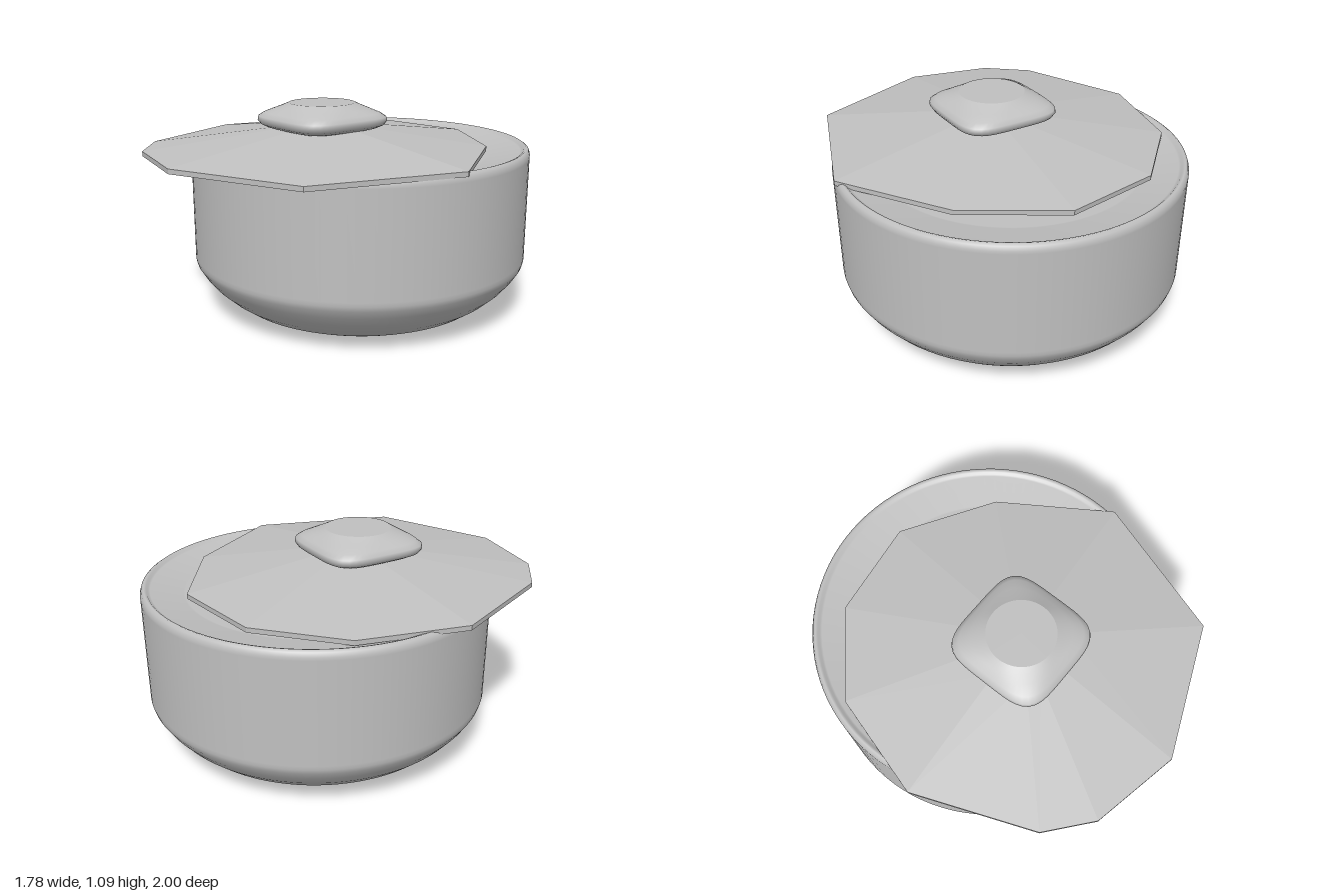
import * as THREE from 'three';

// Joins closed rings of [x, y, z] points (counterclockwise from above, listed bottom to top)
function loft(rings) {
  const n = rings[0].length;
  const index = [];
  for (let r = 0; r < rings.length - 1; r++) {
    for (let i = 0; i < n; i++) {
      const a = r * n + i, b = r * n + (i + 1) % n;
      index.push(a, b, b + n, a, b + n, a + n);
    }
  }
  const geometry = new THREE.BufferGeometry();
  geometry.setAttribute('position', new THREE.Float32BufferAttribute(rings.flat(2), 3));
  geometry.setIndex(index);
  geometry.computeVertexNormals();
  return geometry;
}

// Rounded-square ring: exponent 2 is a circle, higher is squarer
function roundedRing(y, half, exponent, count = 64) {
  return Array.from({ length: count }, (_, i) => {
    const a = (i / count) * Math.PI * 2;
    const c = Math.cos(a), s = Math.sin(a);
    const r = half / Math.pow(Math.abs(c) ** exponent + Math.abs(s) ** exponent, 1 / exponent);
    return [r * c, y, -r * s];
  });
}

export function createModel() {
  const group = new THREE.Group();
  const grey = new THREE.MeshStandardMaterial({ color: 0xc0c0c0 });
  grey.name = 'grey';
  const add = (name, geometry, x, y, z) => {
    const mesh = new THREE.Mesh(geometry, grey);
    mesh.name = name;
    mesh.position.set(x, y, z);
    group.add(mesh);
    return mesh;
  };

  // Round pot with curved base, rolled rim and recessed ledge
  const profile = [
    [0, 0], [0.53, 0], [0.56, 0.006], [0.61, 0.022], [0.67, 0.05], [0.74, 0.1],
    [0.8, 0.155], [0.845, 0.21], [0.873, 0.255], [0.88, 0.28], [0.88, 0.3],
    [0.88, 0.82], [0.88, 0.835], [0.873, 0.855], [0.86, 0.864], [0.848, 0.86],
    [0.84, 0.85], [0.83, 0.847], [0.67, 0.815], [0.66, 0.814], [0, 0.814],
  ].map(([r, y]) => new THREE.Vector2(r, y));
  add('pot', new THREE.LatheGeometry(profile, 96), 0.01, 0, -0.12);

  // Irregular ten-sided lid, offset toward the front
  const outline = [
    [-0.4, -0.71], [-0.757, -0.377], [-0.895, 0.145], [-0.655, 0.73], [-0.445, 0.905],
    [0, 1], [0.65, 0.735], [0.89, 0.01], [0.545, -0.51], [0.095, -0.785],
  ];
  const lidRing = (y, scale) => outline.map(([x, z]) => [x * scale, y, 0.1 + (z - 0.1) * scale]);
  const lidGeometry = loft([
    lidRing(0.846, 0), lidRing(0.846, 1), lidRing(0.87, 1), lidRing(0.964, 0.25), lidRing(0.964, 0),
  ]).toNonIndexed();
  lidGeometry.computeVertexNormals();
  add('lid', lidGeometry, 0, 0, 0);

  // Cushion-shaped knob that narrows to a flat round top
  const knobRows = [
    [0.955, 0.2, 4], [0.965, 0.235, 4.2], [0.98, 0.262, 4.4], [1.0, 0.274, 4.5],
    [1.02, 0.271, 4.5], [1.04, 0.25, 4], [1.06, 0.217, 3], [1.075, 0.192, 2.4], [1.09, 0.168, 2],
  ];
  add('knob', loft(knobRows.map((row) => roundedRing(...row))), -0.02, 0, 0.11);
  const top = new THREE.CircleGeometry(0.168, 64).rotateX(-Math.PI / 2);
  add('knobTop', top, -0.02, 1.09, 0.11);

  return group;
}
